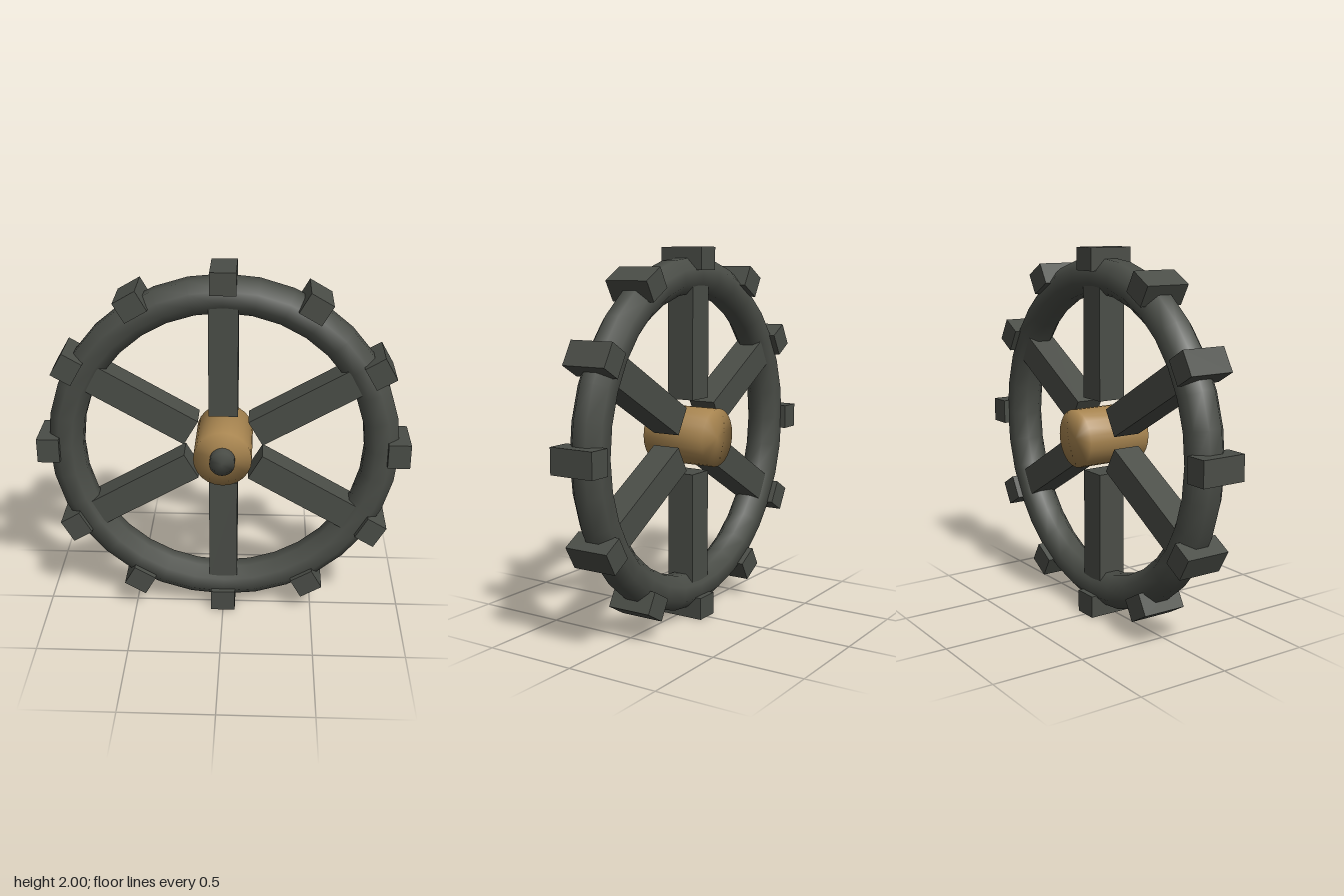
import * as THREE from 'three';
import { mergeVertices } from 'three/addons/utils/BufferGeometryUtils.js';

const IRON = new THREE.MeshStandardMaterial({ color: 0x4a4d47 });
const WOOD = new THREE.MeshStandardMaterial({ color: 0xa88550 });

// Weld all vertices so shading flows smoothly over every edge
function smooth(geometry) {
  geometry.deleteAttribute('uv');
  geometry.deleteAttribute('normal');
  const welded = mergeVertices(geometry, 1e-4);
  welded.computeVertexNormals();
  return welded;
}

function part(name, geometry, material) {
  const mesh = new THREE.Mesh(geometry, material);
  mesh.name = name;
  return mesh;
}

// Solid round bar along z, from z0 to z1
function bar(radius, z0, z1) {
  const g = smooth(new THREE.CylinderGeometry(radius, radius, z1 - z0, 24));
  return g.rotateX(Math.PI / 2).translate(0, 0, (z0 + z1) / 2);
}

export function createModel() {
  const model = new THREE.Group();
  model.name = 'wheel';
  const wheelZ = -0.03;

  // Rim: an octagonal section, flat side outward, swept round the axle
  const section = [];
  for (let i = 0; i <= 8; i++) {
    const a = ((i + 0.5) * Math.PI) / 4;
    section.push(new THREE.Vector2(0.855 + 0.1 * Math.cos(a), 0.1 * Math.sin(a)));
  }
  const rim = part('rim', smooth(new THREE.LatheGeometry(section, 32)), IRON);
  rim.rotation.x = Math.PI / 2;
  rim.position.set(0, 1, wheelZ);
  model.add(rim);

  // Boxes set radially round the axle
  function ring(name, count, inner, outer, width, depth) {
    const geometry = new THREE.BoxGeometry(width, outer - inner, depth);
    geometry.translate(0, (inner + outer) / 2, 0);
    for (let i = 0; i < count; i++) {
      const box = part(name, geometry, IRON);
      box.position.set(0, 1, wheelZ);
      box.rotation.z = (i / count) * Math.PI * 2;
      model.add(box);
    }
  }
  ring('spoke', 6, 0.2, 0.8, 0.155, 0.155);
  ring('tread', 12, 0.88, 1.0, 0.135, 0.248);

  // Hub and the axle stub at its front
  const hub = part('hub', bar(0.156, -0.213, 0.155), WOOD);
  const axle = part('axle', bar(0.067, -0.1, 0.213), IRON);
  hub.position.y = axle.position.y = 1;
  model.add(hub, axle);

  return model;
}
